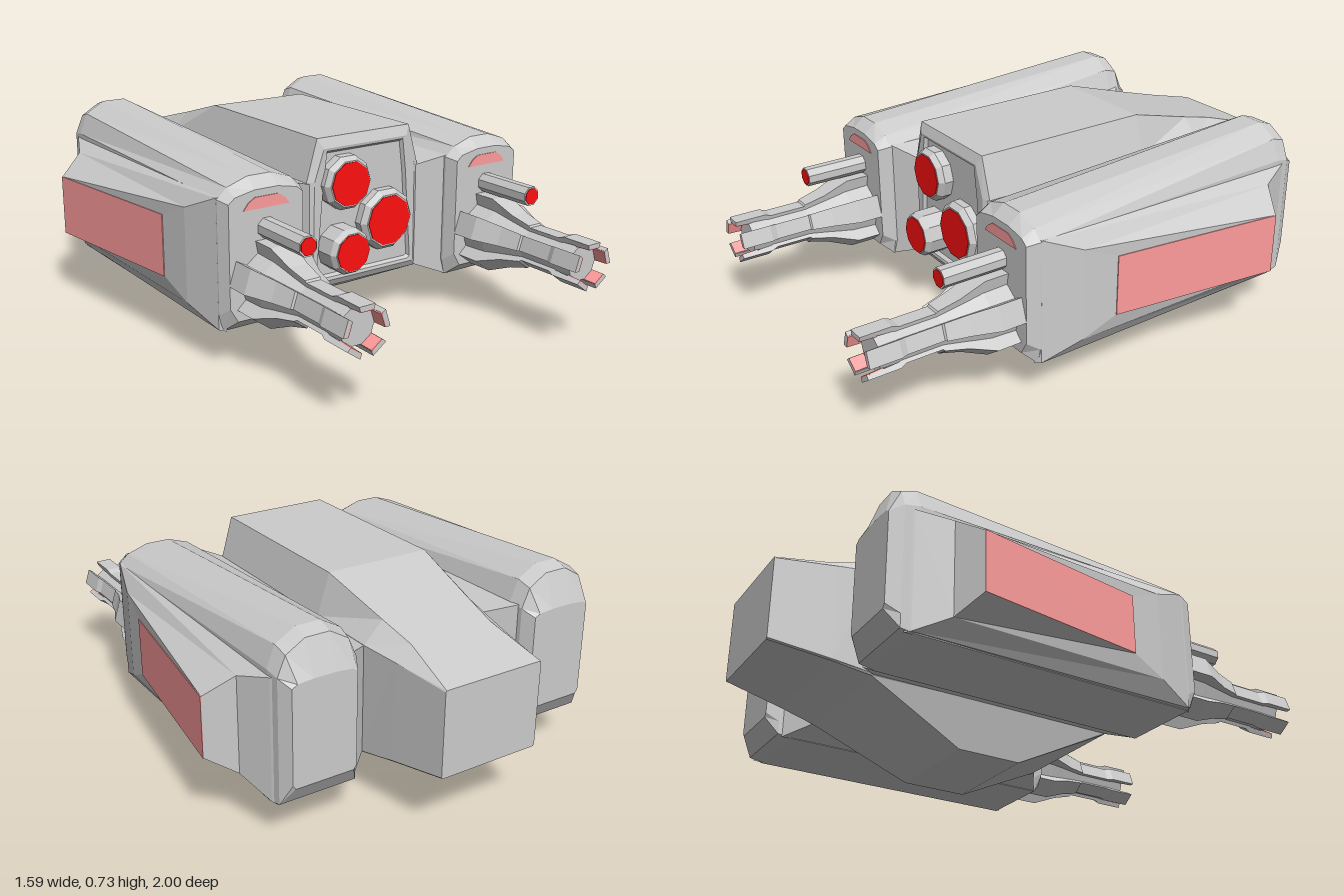
import * as THREE from 'three';

const paint = (color) => new THREE.MeshStandardMaterial({ color, flatShading: true });

// Skin a list of equal-length rings, close both ends and face everything outwards
function loft(rings) {
  const tris = [];
  const n = rings[0].length;
  for (let r = 0; r < rings.length - 1; r++) {
    const a = rings[r], b = rings[r + 1];
    for (let i = 0; i < n; i++) {
      const j = (i + 1) % n;
      tris.push([a[i], a[j], b[j]], [a[i], b[j], b[i]]);
    }
  }
  const first = rings[0], last = rings[rings.length - 1];
  for (let i = 1; i < n - 1; i++) {
    tris.push([first[0], first[i + 1], first[i]], [last[0], last[i], last[i + 1]]);
  }
  let volume = 0;
  for (const [a, b, c] of tris) volume += a.dot(b.clone().cross(c));
  const points = tris.flatMap(([a, b, c]) => (volume < 0 ? [a, c, b] : [a, b, c]));
  const geometry = new THREE.BufferGeometry().setFromPoints(points);
  geometry.computeVertexNormals();
  return geometry;
}

// Symmetric ring across z from [halfWidth, y] pairs listed bottom to top
const ring = (z, pairs, cx = 0) => [
  ...pairs.map(([w, y]) => new THREE.Vector3(cx + w, y, z)),
  ...[...pairs].reverse().map(([w, y]) => new THREE.Vector3(cx - w, y, z)),
];

export function createModel() {
  const model = new THREE.Group();
  model.name = 'spacecraft';
  const grey = paint(0xcccccc), pink = paint(0xff9c9c), red = paint(0xff1010);

  const add = (parent, name, geometry, material = grey) => {
    const mesh = new THREE.Mesh(geometry, material);
    mesh.name = name;
    parent.add(mesh);
    return mesh;
  };
  // Cylinder along z between two depths
  const rod = (parent, name, x, y, z0, z1, r0, r1, sides, material) => {
    const geometry = new THREE.CylinderGeometry(r1, r0, z1 - z0, sides);
    geometry.rotateY(Math.PI / sides).rotateX(Math.PI / 2);
    return add(parent, name, geometry, material).position.set(x, y, (z0 + z1) / 2);
  };

  // Central hull, starting with the recessed front panel and its raised frame
  add(model, 'hull', loft([
    ring(0.335, [[0.2, 0.22], [0.21, 0.225], [0.18, 0.56], [0.165, 0.67]]),
    ring(0.35, [[0.205, 0.212], [0.215, 0.22], [0.185, 0.565], [0.17, 0.68]]),
    ring(0.352, [[0.225, 0.2], [0.23, 0.205], [0.225, 0.575], [0.185, 0.69]]),
    ring(0.338, [[0.245, 0.175], [0.25, 0.18], [0.25, 0.575], [0.205, 0.728]]),
    ring(-0.02, [[0.2, 0], [0.25, 0.175], [0.25, 0.575], [0.205, 0.728]]),
    ring(-0.27, [[0.2, 0], [0.25, 0.175], [0.25, 0.575], [0.205, 0.728]]),
    ring(-0.36, [[0.212, 0.042], [0.25, 0.175], [0.25, 0.575], [0.205, 0.728]]),
    ring(-0.64, [[0.245, 0.172], [0.25, 0.18], [0.25, 0.575], [0.178, 0.65]]),
    ring(-0.78, [[0.225, 0.2], [0.23, 0.205], [0.228, 0.565], [0.165, 0.613]]),
    ring(-1, [[0.19, 0.235], [0.195, 0.24], [0.195, 0.545], [0.192, 0.55]]),
  ]));

  // Front lamps: flared housing, rim and red lens
  for (const [x, y, r, z] of [[-0.095, 0.56, 0.082, 0.39], [0.085, 0.393, 0.095, 0.385], [-0.115, 0.32, 0.07, 0.435]]) {
    const lamp = new THREE.Group();
    lamp.name = 'frontLamp';
    model.add(lamp);
    const mid = z - 0.02;
    rod(lamp, 'lampHousing', x, y, 0.33, mid, r * 1.24, r * 1.24, 10);
    rod(lamp, 'lampRim', x, y, mid, z, r * 1.24, r * 1.06, 10);
    rod(lamp, 'lampLens', x, y, z - 0.01, z + 0.003, r, r, 10, red);
  }

  for (const side of [1, -1]) {
    const pod = new THREE.Group();
    pod.name = side > 0 ? 'leftNacelle' : 'rightNacelle';
    model.add(pod);
    const cx = 0.49 * side;
    const v = (x, y, z) => new THREE.Vector3(x * side, y, z);

    // Long faceted body with bevelled ends
    add(pod, 'nacelleBody', loft([
      ring(0.455, [[0.115, 0.18], [0.145, 0.23], [0.145, 0.59], [0.12, 0.61], [0.045, 0.625]], cx),
      ring(0.41, [[0.15, 0.14], [0.162, 0.2], [0.162, 0.6], [0.125, 0.635], [0.045, 0.662]], cx),
      ring(-0.68, [[0.15, 0.14], [0.15, 0.2], [0.15, 0.61], [0.12, 0.687], [0.045, 0.73]], cx),
      ring(-0.735, [[0.145, 0.15], [0.145, 0.2], [0.145, 0.6], [0.115, 0.67], [0.045, 0.712]], cx),
      ring(-0.78, [[0.11, 0.22], [0.12, 0.235], [0.12, 0.575], [0.1, 0.587], [0.04, 0.592]], cx),
    ], cx));

    // Wedge joining the nacelle to the hull
    const joint = (x, z0, z1, y0, y1) => [v(x, y0, z0), v(x, y1, z0), v(x, y1, z1), v(x, y0, z1)];
    add(pod, 'connector', loft([
      joint(0.24, 0.343, -0.63, 0.18, 0.57),
      joint(0.345, 0.412, -0.72, 0.14, 0.61),
    ]));

    // Outer bulge that widens towards the back
    const outer = ([xf, zf, y0, y1], [xb, zb, y2, y3]) =>
      [v(xf, y0, zf), v(xf, y1, zf), v(xb, y3, zb), v(xb, y2, zb)];
    add(pod, 'sideBulge', loft([
      outer([0.63, 0.42, 0.14, 0.61], [0.63, -0.72, 0.14, 0.595]),
      outer([0.652, 0.405, 0.145, 0.605], [0.642, -0.7, 0.145, 0.59]),
      outer([0.69, 0.26, 0.205, 0.545], [0.692, -0.58, 0.205, 0.56]),
      outer([0.705, 0.13, 0.265, 0.49], [0.79, -0.525, 0.265, 0.49]),
    ]));
    add(pod, 'sidePanel', loft([
      outer([0.7, 0.13, 0.265, 0.49], [0.785, -0.525, 0.265, 0.49]),
      outer([0.708, 0.13, 0.265, 0.49], [0.793, -0.525, 0.265, 0.49]),
    ]), pink);

    // Small window on the front face
    add(pod, 'frontWindow', loft([0.45, 0.458].map((z) =>
      ring(z, [[0.09, 0.56], [0.07, 0.585], [0.045, 0.6]], cx))), pink);

    // Upper gun
    rod(pod, 'upperGun', cx, 0.49, 0.42, 0.695, 0.037, 0.037, 8);
    rod(pod, 'upperGunTip', cx, 0.49, 0.69, 0.698, 0.031, 0.031, 8, red);

    // Main cannon: tapered core ringed by five long petals
    const cannon = new THREE.Group();
    cannon.name = 'cannon';
    cannon.position.set(cx, 0.31, 0);
    pod.add(cannon);
    rod(cannon, 'cannonBase', 0, 0, 0.42, 0.55, 0.105, 0.1, 10);
    rod(cannon, 'cannonTaper', 0, 0, 0.55, 0.72, 0.1, 0.066, 10);
    rod(cannon, 'cannonBarrel', 0, 0, 0.72, 0.95, 0.066, 0.066, 10);
    const strip = (z, r0, r1, w0, w1) => [
      new THREE.Vector3(-w0, r0, z), new THREE.Vector3(w0, r0, z),
      new THREE.Vector3(w1, r1, z), new THREE.Vector3(-w1, r1, z),
    ];
    for (let i = 0; i < 5; i++) {
      const angle = (i * Math.PI * 2) / 5;
      add(cannon, 'cannonPetal', loft([
        strip(0.42, 0.06, 0.14, 0.028, 0.044),
        strip(0.545, 0.06, 0.14, 0.028, 0.044),
        strip(0.64, 0.055, 0.1, 0.026, 0.036),
        strip(0.72, 0.055, 0.08, 0.025, 0.03),
        strip(0.725, 0.055, 0.073, 0.025, 0.028),
        strip(0.86, 0.055, 0.073, 0.025, 0.028),
        strip(0.885, 0.062, 0.083, 0.026, 0.03),
        strip(1, 0.068, 0.083, 0.026, 0.03),
      ])).rotation.z = angle;
      add(cannon, 'muzzleLining', loft([
        strip(0.94, 0.061, 0.069, 0.024, 0.026),
        strip(1, 0.064, 0.069, 0.024, 0.026),
      ]), pink).rotation.z = angle;
    }
  }
  return model;
}
